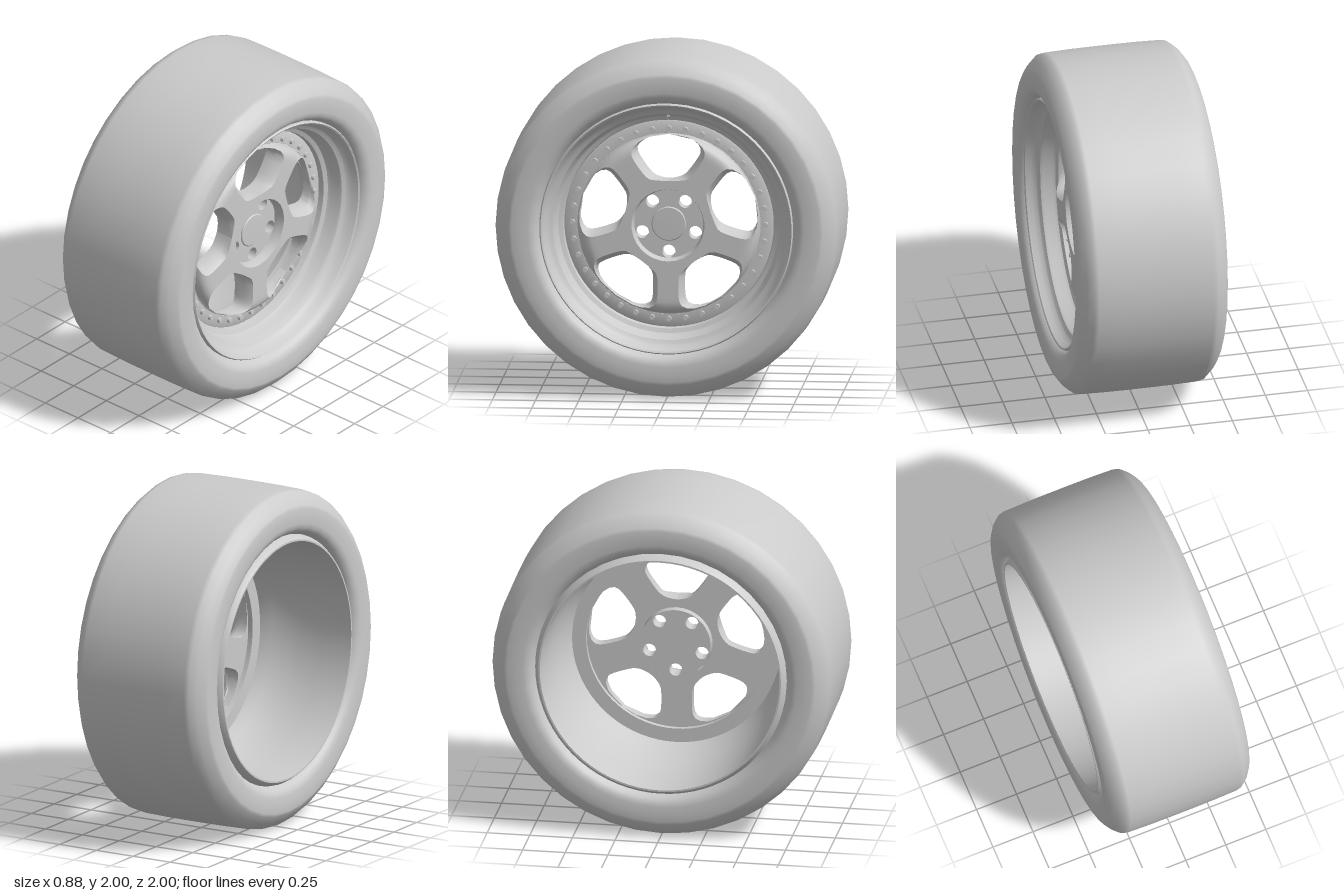
import * as THREE from 'three';
import { toCreasedNormals } from 'three/addons/utils/BufferGeometryUtils.js';

const SPOKES = 5;
const BOLTS = 36;
const rad = THREE.MathUtils.degToRad;

function material() {
  return new THREE.MeshStandardMaterial({ color: 0xcccccc, side: THREE.DoubleSide });
}

// Everything is modelled with the axle along z, then turned so that z becomes +x.
function add(group, name, geometry) {
  const mesh = new THREE.Mesh(geometry, material());
  mesh.name = name;
  group.add(mesh);
  return mesh;
}

// Revolve [radius, depth] points around the axle.
function revolve(points, segments, crease) {
  const g = new THREE.LatheGeometry(points.map(([r, d]) => new THREE.Vector2(r, d)), segments);
  g.rotateX(Math.PI / 2);
  return crease ? toCreasedNormals(g, crease) : g;
}

// Spoke stations: radius, half angle of the window (degrees), front depth
const STATIONS = [
  [0.212, 0, 0.275], [0.235, 0, 0.275], [0.26, 0, 0.275], [0.263, 5, 0.275], [0.272, 10.5, 0.275],
  [0.288, 15.5, 0.275], [0.31, 18.8, 0.275], [0.345, 21, 0.275], [0.385, 22.6, 0.275],
  [0.425, 23.6, 0.275], [0.455, 23.8, 0.275], [0.48, 22.8, 0.272], [0.5, 20, 0.262],
  [0.514, 15.5, 0.245], [0.522, 9, 0.225], [0.526, 0, 0.205], [0.54, 0, 0.198],
];

// One spoke: bevelled cross-sections lofted outwards along the radius.
function spokeGeometry() {
  const back = 0.16, steps = 6;
  const pos = [], index = [];
  let count = 0;
  for (const [r, gap, front] of STATIONS) {
    const half = rad(180 / SPOKES - gap);
    const bevel = Math.min(0.03, rad(gap) * r * 0.4);
    const section = [];
    for (let k = 0; k <= steps; k++) {
      section.push([(half - bevel / r) * (2 * k / steps - 1), front]);
    }
    section.push([half, front - bevel * 1.5]);
    for (let k = 0; k <= steps; k++) section.push([half * (1 - 2 * k / steps), back]);
    section.push([-half, front - bevel * 1.5]);
    count = section.length;
    for (const [a, z] of section) pos.push(r * Math.cos(a), r * Math.sin(a), z);
  }
  for (let i = 0; i < STATIONS.length - 1; i++) {
    for (let j = 0; j < count; j++) {
      const a = i * count + j, b = i * count + (j + 1) % count;
      index.push(a, a + count, b + count, a, b + count, b);
    }
  }
  const g = new THREE.BufferGeometry();
  g.setAttribute('position', new THREE.Float32BufferAttribute(pos, 3));
  g.setIndex(index);
  return toCreasedNormals(g, 0.7);
}

// Hub floor pierced by the lug holes
function hubPlateGeometry() {
  const shape = new THREE.Shape().absarc(0, 0, 0.204, 0, Math.PI * 2);
  for (let i = 0; i < SPOKES; i++) {
    const a = -Math.PI / 2 + i * Math.PI * 2 / SPOKES;
    shape.holes.push(new THREE.Path().absarc(0.162 * Math.cos(a), 0.162 * Math.sin(a), 0.038, 0, Math.PI * 2, true));
  }
  const g = new THREE.ExtrudeGeometry(shape, { depth: 0.085, bevelEnabled: false, curveSegments: 24 });
  g.translate(0, 0, 0.13);
  return toCreasedNormals(g, 0.6);
}

export function createModel() {
  const model = new THREE.Group();
  model.name = 'wheel';
  const wheel = new THREE.Group();
  wheel.name = 'wheelAssembly';
  wheel.rotation.y = Math.PI / 2;
  wheel.position.y = 1;
  model.add(wheel);

  // Tyre: mirrored half profile, bead to tread centre
  const halfTyre = [[0.72, 0.34], [0.735, 0.375], [0.745, 0.4], [0.76, 0.42], [0.78, 0.434], [0.805, 0.44],
    [0.85, 0.442], [0.895, 0.441], [0.914, 0.434], [0.955, 0.405], [0.988, 0.369], [0.995, 0.34], [0.999, 0.2], [1, 0.08]];
  const tyre = [...halfTyre.map(([r, d]) => [r, -d]), ...halfTyre.slice().reverse()];
  add(wheel, 'tyre', revolve(tyre, 40));

  // Stepped outer lip, running down to the bolted ring
  add(wheel, 'rimLip', revolve([
    [0.715, 0.33], [0.735, 0.35], [0.736, 0.4], [0.729, 0.409], [0.72, 0.403], [0.707, 0.37], [0.692, 0.345],
    [0.684, 0.338], [0.664, 0.326], [0.657, 0.31], [0.648, 0.26], [0.638, 0.242], [0.613, 0.23], [0.606, 0.19]], 72, 0.55));

  add(wheel, 'boltedRing', revolve([
    [0.608, 0.13], [0.608, 0.198], [0.602, 0.202], [0.532, 0.202], [0.526, 0.196], [0.526, 0.13], [0.608, 0.13]], 72, 0.6));

  // Deep inner barrel with a flared edge, open at the back
  add(wheel, 'barrel', revolve([
    [0.74, -0.375], [0.732, -0.405], [0.712, -0.432], [0.702, -0.432], [0.698, -0.38], [0.692, -0.22],
    [0.682, -0.1], [0.664, -0.01], [0.638, 0.07], [0.617, 0.12], [0.608, 0.16]], 72, 0.6));

  // Spokes
  const spoke = spokeGeometry();
  for (let i = 0; i < SPOKES; i++) {
    add(wheel, 'spoke', spoke).rotation.z = -Math.PI / 2 + i * Math.PI * 2 / SPOKES;
  }

  // Hub floor, its sloping wall and the centre cap
  add(wheel, 'hubPlate', hubPlateGeometry());
  add(wheel, 'hubRecess', revolve([[0.204, 0.13], [0.2, 0.215], [0.205, 0.245], [0.213, 0.275]], 60, 0.6));
  add(wheel, 'centreCap', revolve([[0.1, 0.21], [0.1, 0.22], [0.095, 0.225], [0, 0.227]], 48, 0.5));

  // Ring bolts
  const bolt = new THREE.CylinderGeometry(0.015, 0.017, 0.02, 8).rotateX(Math.PI / 2);
  for (let i = 0; i < BOLTS; i++) {
    const a = i * Math.PI * 2 / BOLTS;
    add(wheel, 'ringBolt', bolt).position.set(0.56 * Math.cos(a), 0.56 * Math.sin(a), 0.21);
  }

  // Valve stem
  const valve = new THREE.CylinderGeometry(0.008, 0.01, 0.03, 10).rotateX(Math.PI / 2);
  add(wheel, 'valveStem', valve).position.set(0, 0.643, 0.26);

  return model;
}
